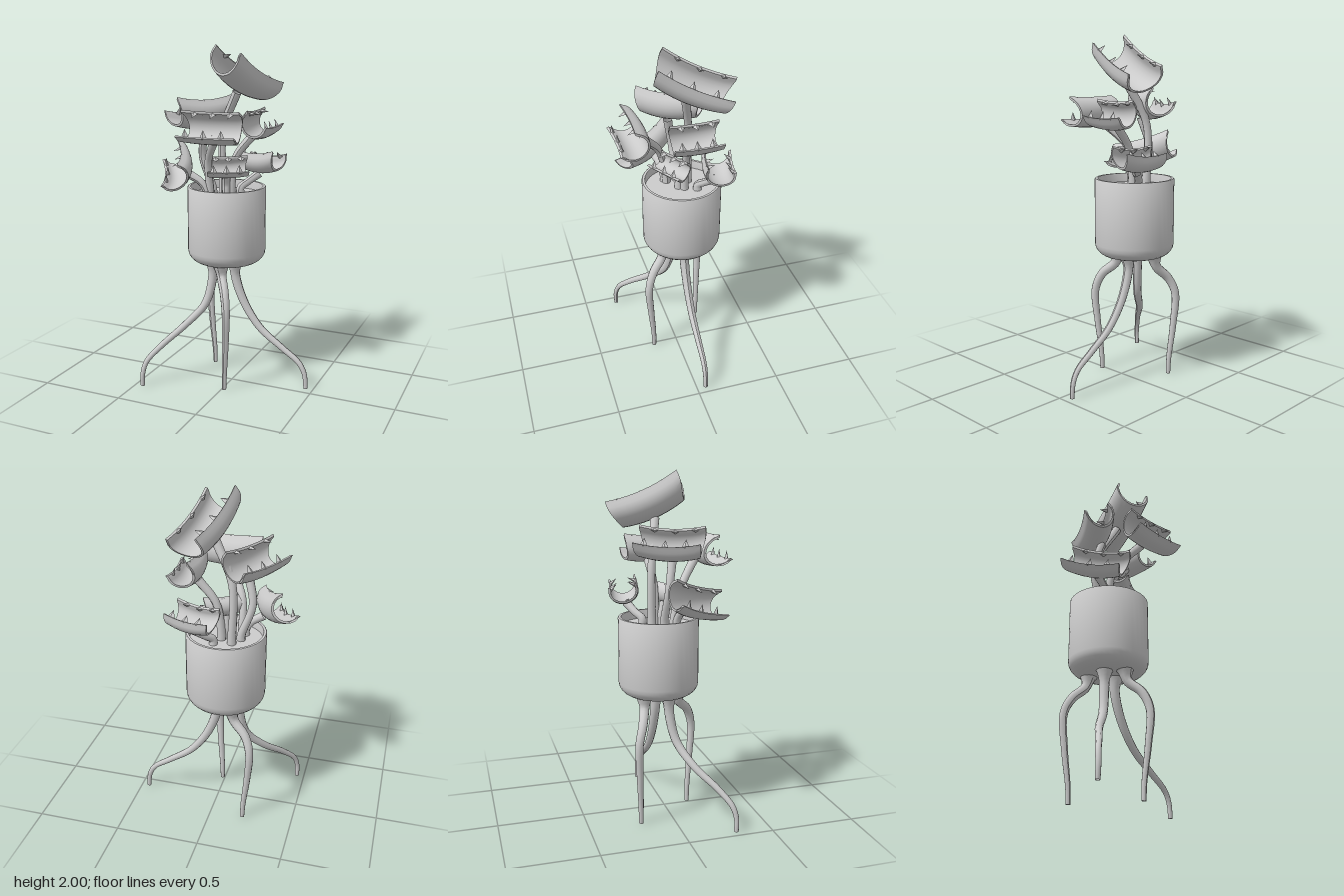
import * as THREE from 'three';
import { toCreasedNormals } from 'three/addons/utils/BufferGeometryUtils.js';

const grey = new THREE.MeshStandardMaterial({ color: 0xcccccc, side: THREE.DoubleSide });
const vec = (p) => new THREE.Vector3(...p);

function add(parent, name, geometry) {
  const mesh = new THREE.Mesh(geometry, grey);
  mesh.name = name;
  parent.add(mesh);
  return mesh;
}

// Tube along a smooth path whose radius follows a function of its length.
function taperedTube(points, radiusAt, segments = 28, sides = 10) {
  const path = new THREE.CatmullRomCurve3(points.map(vec));
  const geo = new THREE.TubeGeometry(path, segments, 1, sides);
  const pos = geo.attributes.position;
  const v = new THREE.Vector3();
  for (let i = 0; i < pos.count; i++) {
    const t = Math.floor(i / (sides + 1)) / segments;
    const c = path.getPointAt(t);
    v.fromBufferAttribute(pos, i).sub(c).multiplyScalar(radiusAt(t)).add(c);
    pos.setXYZ(i, v.x, v.y, v.z);
  }
  geo.computeVertexNormals();
  return geo;
}

// Gaping two-lobed trap: hinge along local z, mouth towards local +y.
function makeTrap({ hinge, axis, up, length, rx, depth, bend = 0.025, teeth = 3 }) {
  const trap = new THREE.Group();
  trap.name = 'trap';
  const A = 2.15, ry = depth / (1 - Math.cos(A)), wall = 0.013, n = 18;

  // C-shaped section with lips that turn slightly outwards
  const pts = [];
  const ring = (k, inset) => {
    const a = -A + (2 * A * k) / n;
    const lip = k === 0 || k === n ? 0.008 : 0;
    pts.push(new THREE.Vector2(
      (rx - inset) * Math.sin(a) + Math.sign(a) * lip,
      ry - (ry - inset) * Math.cos(a)));
  };
  for (let k = 0; k <= n; k++) ring(k, 0);
  for (let k = n; k >= 0; k--) ring(k, wall);

  // Sweep it, shorten it at the hinge and curl the ends upwards
  const shell = new THREE.ExtrudeGeometry(new THREE.Shape(pts), { depth: length, steps: 10, bevelEnabled: false });
  const pos = shell.attributes.position;
  for (let i = 0; i < pos.count; i++) {
    const y = pos.getY(i), t = (2 * pos.getZ(i)) / length - 1;
    const k = Math.min(1, Math.max(0, y / depth));
    pos.setXYZ(i, pos.getX(i) * (1 - 0.08 * t * t * (1 - k)), y + bend * t * t,
      t * (length / 2) * (0.87 + 0.13 * Math.sin(k * 1.9)));
  }
  add(trap, 'lobes', toCreasedNormals(shell, 0.7));

  // Short flat teeth pointing inwards from each lip
  for (const side of [-1, 1]) {
    for (let i = 0; i < teeth; i++) {
      const t = ((i + 0.5) / teeth) * 2 - 1 + side * 0.08;
      const geo = new THREE.ConeGeometry(0.024, 0.05, 4);
      geo.scale(0.5, 1, 1);
      const tooth = add(trap, 'tooth', toCreasedNormals(geo, 0.3));
      tooth.position.set(side * (rx * Math.sin(A) - 0.018), depth - 0.002 + bend * t * t, t * length * 0.46);
      tooth.rotation.z = side * 1.0;
    }
  }

  const z = vec(axis).normalize();
  const x = vec(up).cross(z).normalize();
  const y = z.clone().cross(x);
  trap.applyMatrix4(new THREE.Matrix4().makeBasis(x, y, z).setPosition(...hinge));
  return trap;
}

export function createModel() {
  const model = new THREE.Group();
  const cx = -0.055, cz = -0.05;

  // Pot: hollow, with a rounded base
  const profile = [[0, 0.73], [0.13, 0.73]];
  for (let i = 1; i <= 6; i++) {
    const a = (i / 6) * Math.PI / 2;
    profile.push([0.13 + 0.1 * Math.sin(a), 0.81 - 0.08 * Math.cos(a)]);
  }
  profile.push([0.23, 1.185], [0.226, 1.19], [0.212, 1.19], [0.21, 1.185], [0.21, 1.1]);
  const pot = add(model, 'pot', toCreasedNormals(
    new THREE.LatheGeometry(profile.map((p) => new THREE.Vector2(...p)), 40), 0.7));
  pot.position.set(cx, 0, cz);

  const soil = add(model, 'soil', new THREE.CylinderGeometry(0.212, 0.212, 0.02, 40));
  soil.position.set(cx, 1.13, cz);

  // Root-like legs, flared where they meet the pot
  const legs = [
    [[0.0, 0.74, -0.05], [0.0, 0.65, -0.053], [0.055, 0.49, -0.055], [0.16, 0.34, -0.055],
      [0.3, 0.235, -0.055], [0.41, 0.155, -0.055], [0.445, 0.09, -0.055], [0.455, 0, -0.055]],
    [[-0.125, 0.74, -0.01], [-0.13, 0.62, -0.005], [-0.165, 0.47, 0.025], [-0.265, 0.345, 0.1],
      [-0.37, 0.235, 0.21], [-0.435, 0.15, 0.275], [-0.452, 0.08, 0.295], [-0.455, 0, 0.295]],
    [[-0.115, 0.74, -0.15], [-0.13, 0.67, -0.155], [-0.205, 0.59, -0.185], [-0.238, 0.5, -0.212],
      [-0.228, 0.3, -0.208], [-0.205, 0.1, -0.198], [-0.2, 0, -0.197]],
    [[-0.04, 0.74, 0.07], [-0.03, 0.67, 0.08], [0.015, 0.6, 0.145], [0.04, 0.5, 0.18],
      [0.033, 0.3, 0.17], [0.018, 0.1, 0.152], [0.015, 0, 0.15]],
  ];
  for (const points of legs) {
    add(model, 'leg', taperedTube(points,
      (t) => 0.03 - 0.017 * t + 0.022 * Math.max(0, 1 - t / 0.1) ** 2, 40));
  }

  // Traps, each with the foot of its stem and a bend point
  const traps = [
    { hinge: [0.01, 1.735, -0.05], axis: [0.25, -0.4, -0.88], up: [0.34, 0.88, -0.3], length: 0.43,
      rx: 0.112, depth: 0.15, foot: [-0.1, -0.1], via: [-0.1, 1.5, -0.1] },
    { hinge: [-0.015, 1.51, 0.178], axis: [1, 0, 0], up: [0, 0.5, 0.87], length: 0.345,
      rx: 0.085, depth: 0.135, bend: 0.012, foot: [-0.13, 0.02], via: [-0.12, 1.35, 0.06] },
    { hinge: [-0.165, 1.53, 0], axis: [-0.5, 0, 0.86], up: [-0.43, 0.87, -0.26], length: 0.37,
      rx: 0.09, depth: 0.135, foot: [-0.14, -0.04], via: [-0.2, 1.36, -0.03] },
    { hinge: [-0.245, 1.26, 0.055], axis: [0.43, -0.27, 0.86], up: [-0.65, 0.54, 0.49], length: 0.36,
      rx: 0.088, depth: 0.115, foot: [-0.15, 0.03], via: [-0.18, 1.22, 0.04] },
    { hinge: [0.1, 1.49, -0.065], axis: [0, 0, 1], up: [0.6, 0.8, 0], length: 0.275,
      rx: 0.08, depth: 0.12, bend: 0.015, foot: [-0.03, -0.06], via: [0.0, 1.36, -0.06] },
    { hinge: [-0.04, 1.27, -0.01], axis: [0.85, 0, -0.5], up: [0.35, 0.65, 0.6], length: 0.24,
      rx: 0.06, depth: 0.085, bend: 0.012, foot: [-0.05, -0.03], via: [-0.05, 1.2, -0.03] },
    { hinge: [0.09, 1.25, -0.2], axis: [0.97, 0.03, 0.22], up: [0, 1, -0.2], length: 0.26,
      rx: 0.085, depth: 0.11, bend: 0.02, foot: [0.0, -0.13], via: [0.03, 1.2, -0.16] },
  ];
  for (const t of traps) {
    const plant = new THREE.Group();
    plant.name = 'flytrap';
    plant.add(makeTrap(t));
    const [fx, fz] = t.foot;
    add(plant, 'stem', taperedTube([[fx, 1.12, fz], [fx, 1.17, fz], t.via, t.hinge],
      (s) => 0.026 - 0.004 * Math.sin(s * Math.PI)));
    model.add(plant);
  }
  return model;
}
